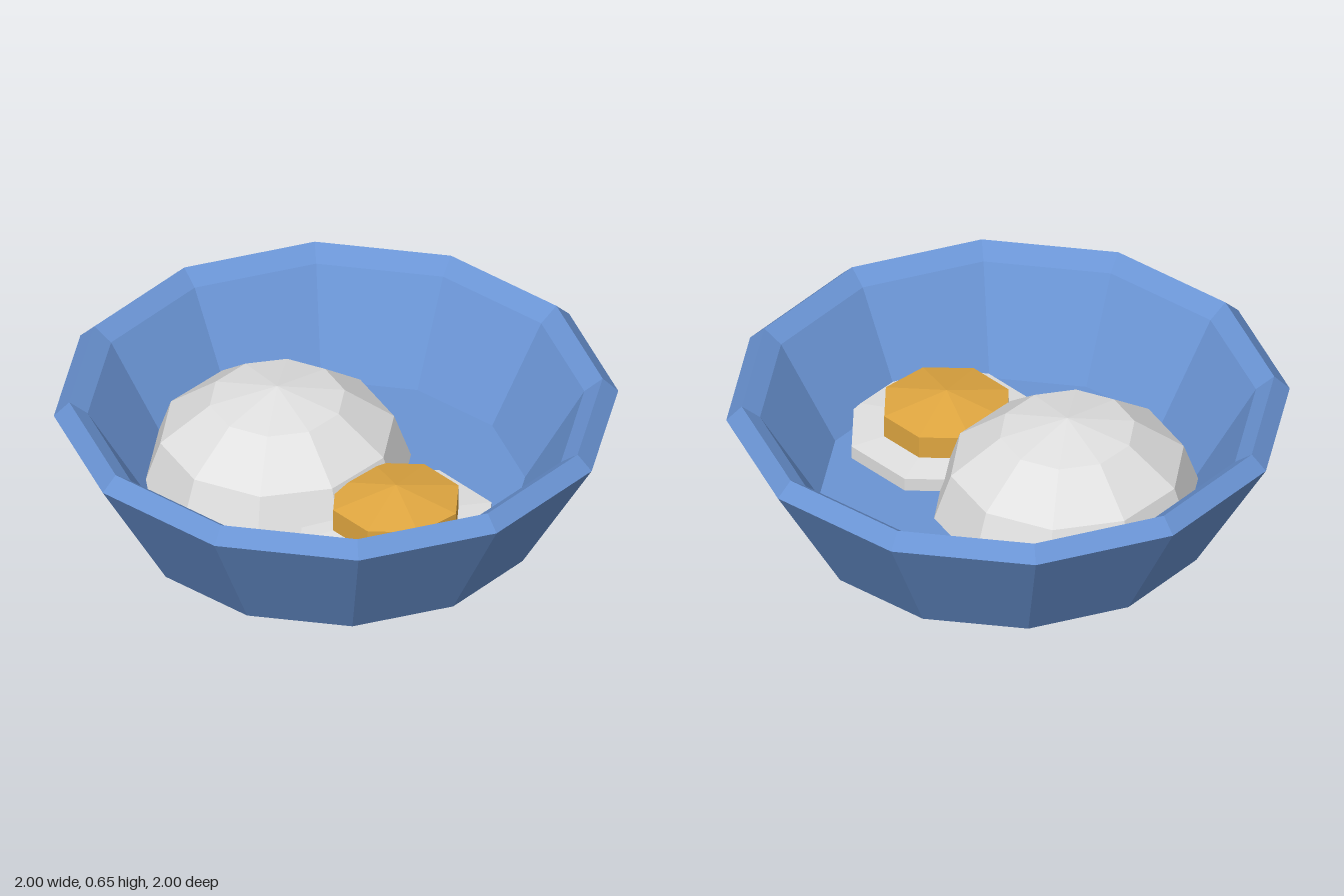
import * as THREE from 'three';

const flat = (name, color) => {
  const m = new THREE.MeshStandardMaterial({ color, flatShading: true });
  m.name = name;
  return m;
};

export function createModel() {
  const group = new THREE.Group();
  const blue = flat('bowl blue', 0x6a94d4);
  const white = flat('soft white', 0xe0e0e0);
  const yellow = flat('yolk yellow', 0xdfa640);

  const add = (name, geometry, material, x = 0, y = 0, z = 0) => {
    const mesh = new THREE.Mesh(geometry, material);
    mesh.name = name;
    mesh.position.set(x, y, z);
    group.add(mesh);
    return mesh;
  };

  // Twelve-sided bowl: foot, outer wall, bevelled rim, inner wall and floor
  const profile = [
    [0, 0], [0.45, 0], [0.73, 0.14], [1, 0.6], [0.945, 0.655],
    [0.88, 0.605], [0.67, 0.25], [0, 0.25],
  ].map(([r, y]) => new THREE.Vector2(r, y));
  add('bowl', new THREE.LatheGeometry(profile, 12), blue);

  // Faceted rice dome resting on the bowl floor
  const dome = new THREE.SphereGeometry(1, 10, 3, 0, Math.PI * 2, 0, Math.PI / 2);
  add('riceMound', dome.scale(0.48, 0.37, 0.5), white, -0.23, 0.237, 0);

  // Egg beside the rice: eight-sided discs with shallow peaked tops
  const puck = (radius, height) => {
    const r = radius / Math.sin(Math.PI / 3);
    return new THREE.SphereGeometry(1, 8, 3).scale(r, height, r);
  };
  add('eggWhite', puck(0.358, 0.08), white, 0.32, 0.26, 0.18);
  add('eggYolk', puck(0.235, 0.11), yellow, 0.32, 0.345, 0.18);

  return group;
}
